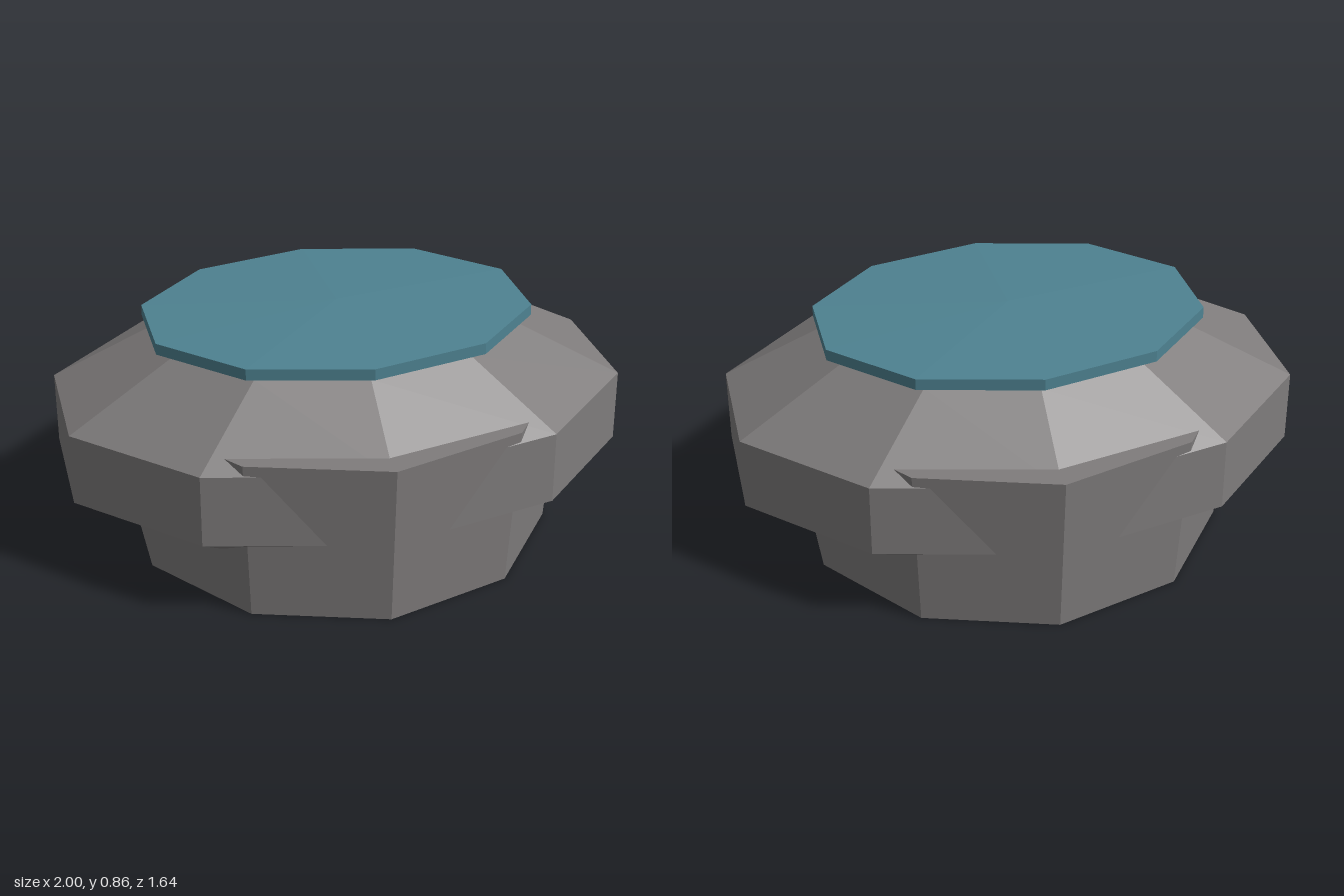
import * as THREE from 'three';

const stone = new THREE.MeshStandardMaterial({ color: 0x7f7c7c, flatShading: true });
stone.name = 'warm grey';
const teal = new THREE.MeshStandardMaterial({ color: 0x4e8291, flatShading: true });
teal.name = 'teal';

// Ten-sided turned solid; profile is [radius, y] from the bottom up, depth squashes it along z
function decagon(name, profile, material, depth = 1) {
  const points = profile.map(([r, y]) => new THREE.Vector2(r, y));
  const geometry = new THREE.LatheGeometry(points, 10).scale(1, 1, depth);
  const mesh = new THREE.Mesh(geometry, material);
  mesh.name = name;
  return mesh;
}

export function createModel() {
  const group = new THREE.Group();
  group.name = 'lidded pot';
  group.add(
    // Slightly flared foot
    decagon('base', [[0, 0], [0.778, 0], [0.818, 0.6], [0, 0.6]], stone),
    // Wide oval belly, bevelled above and below
    decagon('body', [
      [0, 0.1], [0.67, 0.1], [1.051, 0.297], [1.051, 0.56],
      [0.65, 0.772], [0.52, 0.79], [0, 0.79],
    ], stone, 0.742),
    // Thin, barely domed lid
    decagon('lid', [[0, 0.796], [0.712, 0.796], [0.712, 0.837], [0, 0.859]], teal, 0.756),
  );
  return group;
}
